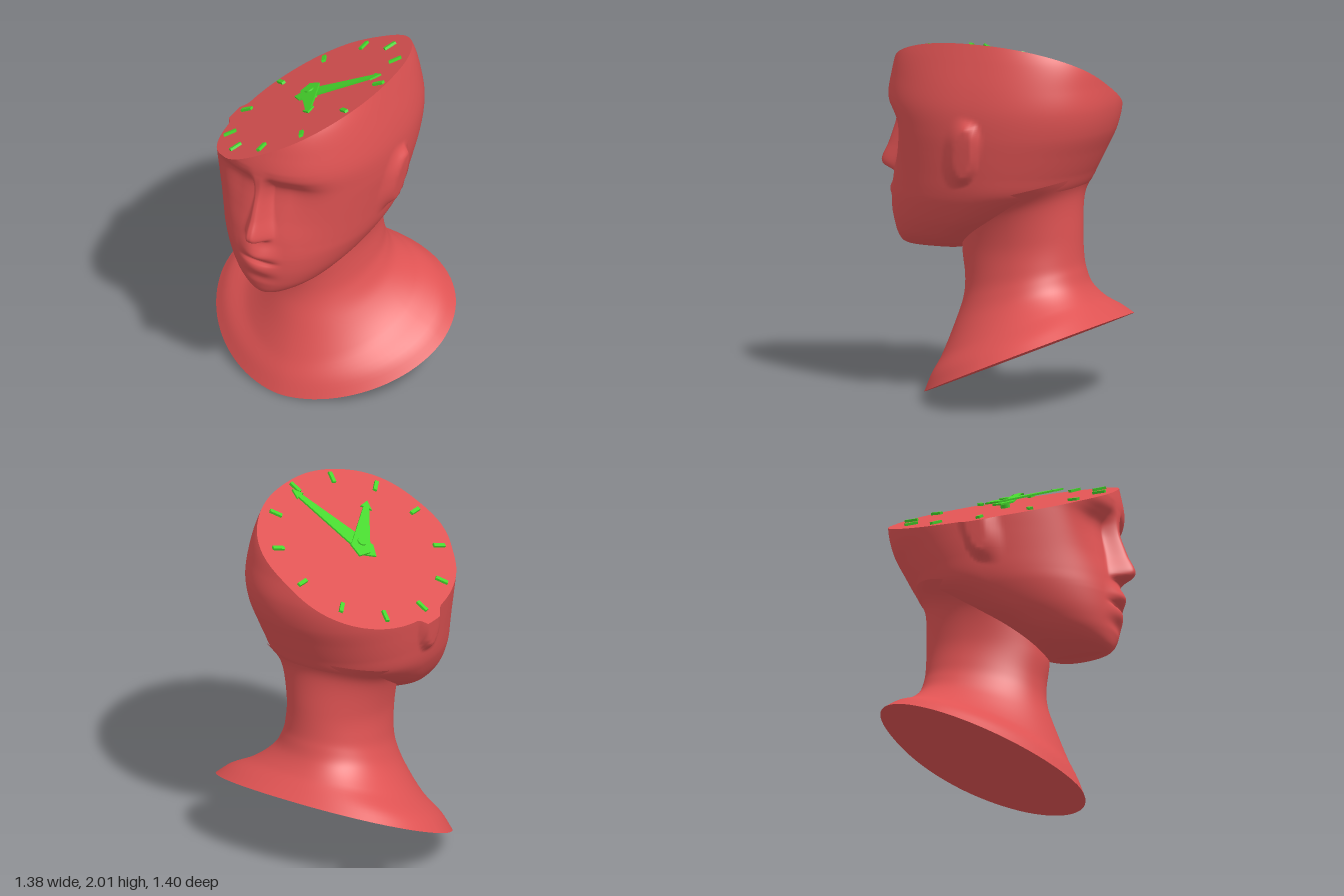
import * as THREE from 'three';

const SLOPE = 0.588, CUT_Y = 1.747; // slanted cut: y = CUT_Y + SLOPE * x
const smooth = THREE.MathUtils.smoothstep;
const spow = (v, p) => Math.sign(v) * Math.abs(v) ** p;

// Cubic lookup of column c in rows sorted by their first entry
function look(rows, y, c = 1) {
  const n = rows.length - 1;
  if (y <= rows[0][0]) return rows[0][c];
  if (y >= rows[n][0]) return rows[n][c];
  let i = 0;
  while (rows[i + 1][0] < y) i++;
  const tangent = (k) => {
    const a = rows[Math.max(k - 1, 0)], b = rows[Math.min(k + 1, n)];
    return (b[c] - a[c]) / (b[0] - a[0]);
  };
  const [p, q] = [rows[i], rows[i + 1]];
  const h = q[0] - p[0], t = (y - p[0]) / h, t2 = t * t, t3 = t2 * t;
  return (2 * t3 - 3 * t2 + 1) * p[c] + (t3 - 2 * t2 + t) * h * tangent(i)
    + (3 * t2 - 2 * t3) * q[c] + (t3 - t2) * h * tangent(i + 1);
}

// Head sections: height, half width, front z, back z, z of the widest point
const HEAD = [
  [0.79, 0.03, 0.51, 0.25, 0.4], [0.8, 0.08, 0.545, 0.2, 0.37], [0.82, 0.15, 0.568, 0.16, 0.33],
  [0.87, 0.235, 0.586, 0.07, 0.27], [0.93, 0.3, 0.597, -0.05, 0.2], [1.0, 0.36, 0.605, -0.19, 0.11],
  [1.1, 0.42, 0.605, -0.38, 0.02], [1.17, 0.447, 0.602, -0.49, -0.03], [1.27, 0.468, 0.6, -0.55, -0.05],
  [1.38, 0.487, 0.597, -0.605, -0.06], [1.5, 0.503, 0.592, -0.66, -0.06], [1.63, 0.507, 0.608, -0.685, -0.06],
  [1.75, 0.492, 0.592, -0.675, -0.06], [1.9, 0.459, 0.55, -0.645, -0.05], [2.03, 0.427, 0.45, -0.55, -0.04],
];
// Height, nose height, nose half width
const NOSE = [
  [1.17, 0, 0.08], [1.187, 0.004, 0.083], [1.2, 0.04, 0.086], [1.215, 0.085, 0.086], [1.25, 0.1, 0.08],
  [1.345, 0.06, 0.058], [1.45, 0.028, 0.045], [1.53, 0.012, 0.05], [1.62, 0, 0.06],
];
const SOCKET = [[1.08, 0], [1.2, 0.012], [1.32, 0.038], [1.44, 0.06], [1.52, 0.062], [1.57, 0.035], [1.61, 0.01], [1.66, 0]];
const LIPS = [
  [0.89, 0], [0.935, -0.006], [0.985, 0.016], [1.022, 0.012], [1.042, -0.014],
  [1.06, 0.012], [1.09, 0.038], [1.12, 0.03], [1.165, 0.006], [1.2, 0],
];

// Point on the head at angle phi (0 = front, rising towards +x) and height y
function headPoint(phi, y) {
  const [w, front, back, mid] = [1, 2, 3, 4].map((c) => look(HEAD, y, c));
  const s = Math.sin(phi), c = Math.cos(phi);
  const n = 2.1 + (c > 0 ? 0.15 : 0.3) * smooth(y, 1.2, 1.75);
  let x = w * spow(s, 2 / n);
  let z = mid + (c > 0 ? front - mid : mid - back) * spow(c, 2 / n);
  // ears: crisp rear rim, front blending into the cheek
  const ez = (z + 0.02 + (y - 1.41) * 0.18) / 0.1, ey = (y - 1.405) / 0.185;
  const r = (Math.abs(ez) ** 2.4 + Math.abs(ey) ** 2.4) ** (1 / 2.4);
  const blend = smooth(ez, -0.4, 0.8);
  x += Math.sign(x) * 0.042 * (1 - smooth(r, 0.78 - 0.6 * blend, 1.06 + 0.2 * blend));
  // nose, eye sockets and lips
  if (c > 0) {
    const ax = Math.abs(x), nw = look(NOSE, y, 2);
    const nose = look(NOSE, y) * (1 - smooth(ax, 0.1 * nw, 1.15 * nw));
    const socket = look(SOCKET, y) * smooth(ax, 0.25 * nw, 1.4 * nw) * (1 - smooth(ax, 0.15, 0.41));
    const lips = look(LIPS, y) * (1 - smooth(ax, 0, 0.15));
    z += (nose - socket + lips) * smooth(z, 0.05, 0.3);
  }
  return new THREE.Vector3(x, y, z);
}

// Closed rings of points, lowest first, joined into a smooth skin
function skin(rings) {
  const n = rings[0].length, index = [];
  for (let i = 0; i < rings.length - 1; i++) {
    for (let j = 0; j < n; j++) {
      const a = i * n + j, b = i * n + (j + 1) % n;
      index.push(a, b, b + n, a, b + n, a + n);
    }
  }
  const g = new THREE.BufferGeometry().setFromPoints(rings.flat());
  g.setIndex(index);
  g.computeVertexNormals();
  return g;
}

// Flat fan closing one ring
function cap(ring, up) {
  const n = ring.length, index = [];
  const centre = ring.reduce((s, p) => s.add(p), new THREE.Vector3()).divideScalar(n);
  for (let j = 0; j < n; j++) {
    const k = (j + 1) % n;
    index.push(n, up ? j : k, up ? k : j);
  }
  const g = new THREE.BufferGeometry().setFromPoints([...ring, centre]);
  g.setIndex(index);
  g.computeVertexNormals();
  return g;
}

function headRings() {
  const cols = 280, lowRows = 52, highRows = 64, split = 1.28;
  const phis = [], tops = [];
  for (let j = 0; j < cols; j++) {
    const u = (j / cols) * Math.PI * 2;
    const phi = u - 0.6 * Math.sin(u); // finer towards the face
    let top = CUT_Y;
    for (let k = 0; k < 25; k++) top = CUT_Y + SLOPE * headPoint(phi, top).x;
    phis.push(phi);
    tops.push(top);
  }
  const rings = [];
  for (let i = 0; i < lowRows; i++) {
    rings.push(phis.map((phi) => headPoint(phi, 0.79 + (split - 0.79) * i / lowRows)));
  }
  for (let i = 0; i <= highRows; i++) {
    rings.push(phis.map((phi, j) => headPoint(phi, split + (tops[j] - split) * i / highRows)));
  }
  return rings;
}

// Neck sections: step, front z, front y, back z, back y, half width
const NECK = [
  [0, 0.38, 0.0, -0.695, 0.46, 0.69], [0.5, 0.345, 0.1, -0.635, 0.51, 0.61], [1, 0.3, 0.2, -0.58, 0.56, 0.48],
  [2, 0.23, 0.39, -0.53, 0.635, 0.35], [3, 0.185, 0.53, -0.507, 0.71, 0.294], [4, 0.177, 0.65, -0.495, 0.78, 0.272],
  [5, 0.195, 0.8, -0.49, 0.92, 0.267], [6, 0.18, 0.95, -0.49, 1.13, 0.31], [7, 0.1, 1.08, -0.535, 1.25, 0.395],
];

function neckRings() {
  const rings = [];
  for (let i = 0; i <= 56; i++) {
    const [zf, yf, zb, yb, w] = [1, 2, 3, 4, 5].map((c) => look(NECK, i / 8, c));
    const mid = zf + (zb - zf) * 0.56, ring = [];
    const rim = 1 - smooth(i, 0, 24); // egg outline at the shoulders, round at the neck
    for (let j = 0; j < 96; j++) {
      const a = (j / 96) * Math.PI * 2, c = Math.cos(a);
      const p = 2 / (2 + (c > 0 ? -0.2 : 0.25) * rim);
      const z = mid + (c > 0 ? zf - mid : mid - zb) * spow(c, p);
      ring.push(new THREE.Vector3(w * spow(Math.sin(a), p), yf + (yb - yf) * (z - zf) / (zb - zf), z));
    }
    rings.push(ring);
  }
  return rings;
}

// Flat clock hand pointing along +x, with pointed tail and arrow tip
function handGeometry(length) {
  const half = [[-0.052, 0.058], [length - 0.055, 0.017], [length - 0.06, 0.034]];
  const outline = [[-0.11, 0], ...half.map(([x, y]) => [x, -y]), [length, 0],
    ...half.reverse()];
  const shape = new THREE.Shape(outline.map(([x, y]) => new THREE.Vector2(x, y)));
  return new THREE.ExtrudeGeometry(shape, { depth: 0.01, bevelEnabled: false }).rotateX(-Math.PI / 2);
}

export function createModel() {
  const red = new THREE.MeshStandardMaterial({ color: 0xdf5353 });
  red.name = 'red';
  const green = new THREE.MeshStandardMaterial({ color: 0x47d82d });
  green.name = 'green';
  const model = new THREE.Group();
  const add = (parent, name, geometry, material) => {
    const mesh = new THREE.Mesh(geometry, material);
    mesh.name = name;
    parent.add(mesh);
    return mesh;
  };

  // bust
  const head = headRings(), neck = neckRings();
  add(model, 'head', skin(head), red);
  add(model, 'chinUnderside', cap(head[0], false), red);
  add(model, 'clockFace', cap(head[head.length - 1], true), red);
  add(model, 'neckAndShoulders', skin(neck), red);
  add(model, 'base', cap(neck[0], false), red);

  // clock lying on the slanted cut
  const clock = new THREE.Group();
  clock.name = 'clock';
  clock.position.set(-0.03, CUT_Y - 0.03 * SLOPE, -0.037);
  clock.rotation.z = Math.atan(SLOPE);
  model.add(clock);
  for (let k = 0; k < 12; k++) {
    const a = k * Math.PI / 6;
    const tick = add(clock, 'hourMark', new THREE.BoxGeometry(0.072, 0.014, 0.022), green);
    tick.position.set(0.484 * Math.cos(a), 0.009, -0.542 * Math.sin(a));
    tick.rotation.y = a;
  }
  const minute = add(clock, 'minuteHand', handGeometry(0.48), green);
  minute.position.y = 0.025;
  minute.rotation.y = 0.125;
  const hour = add(clock, 'hourHand', handGeometry(0.34), green);
  hour.position.y = 0.038;
  hour.rotation.y = -0.997;
  const pin = add(clock, 'centrePin', new THREE.CylinderGeometry(0.026, 0.026, 0.056, 24), green);
  pin.position.y = 0.028;
  return model;
}
